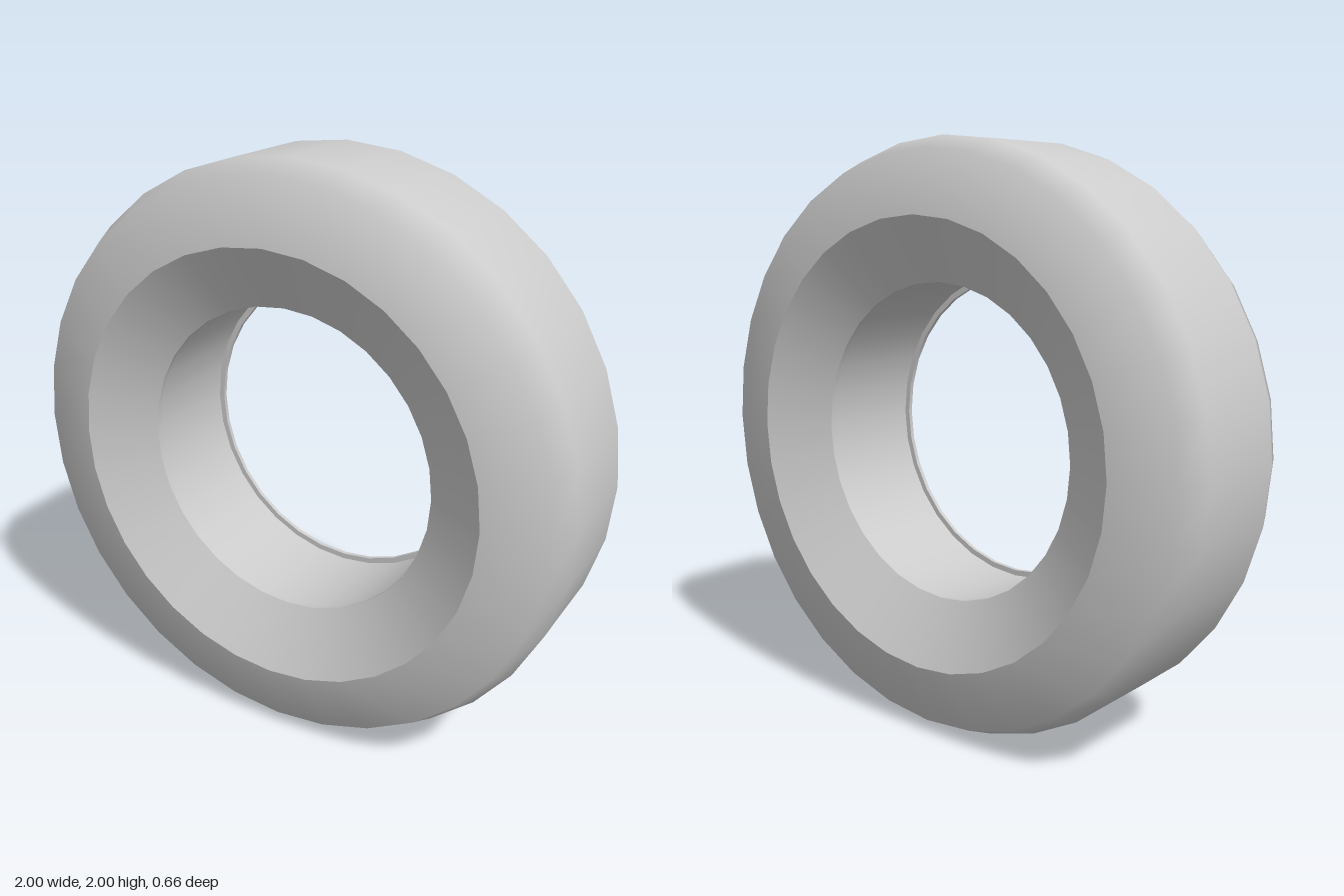
import * as THREE from 'three';

const SIDES = 32;
const material = new THREE.MeshStandardMaterial({ color: 0xcccccc });

// Revolves a smooth [radius, z] profile around the z axis.
function ring(name, profile) {
  const points = profile.map(([r, z]) => new THREE.Vector2(r, z));
  const geometry = new THREE.LatheGeometry(points, SIDES).rotateX(Math.PI / 2);
  const mesh = new THREE.Mesh(geometry, material);
  mesh.name = name;
  return mesh;
}

// Same profile on the back; reversing the order keeps the faces outward.
const mirrored = (profile) => profile.map(([r, z]) => [r, -z]).reverse();

export function createModel() {
  const tyre = new THREE.Group();
  tyre.name = 'tyre';

  // Tread, rounded shoulders and outer sidewalls
  const shoulder = [[1, 0.185], [0.957, 0.282], [0.75, 0.33]];
  tyre.add(ring('treadAndSidewalls', [...mirrored(shoulder), ...shoulder]));

  // Sloping inner sidewalls and the small bead lips around the hole
  const parts = {
    InnerSidewall: [[0.75, 0.33], [0.535, 0.21]],
    BeadLip: [[0.535, 0.21], [0.535, 0.195]],
    BeadStep: [[0.535, 0.195], [0.555, 0.195]],
  };
  for (const [name, profile] of Object.entries(parts)) {
    tyre.add(ring('front' + name, profile));
    tyre.add(ring('back' + name, mirrored(profile)));
  }

  // Recessed channel between the lips
  tyre.add(ring('innerChannel', [[0.555, 0.195], [0.555, -0.195]]));

  tyre.position.y = 1;
  const model = new THREE.Group();
  model.name = 'tyreModel';
  model.add(tyre);
  return model;
}
